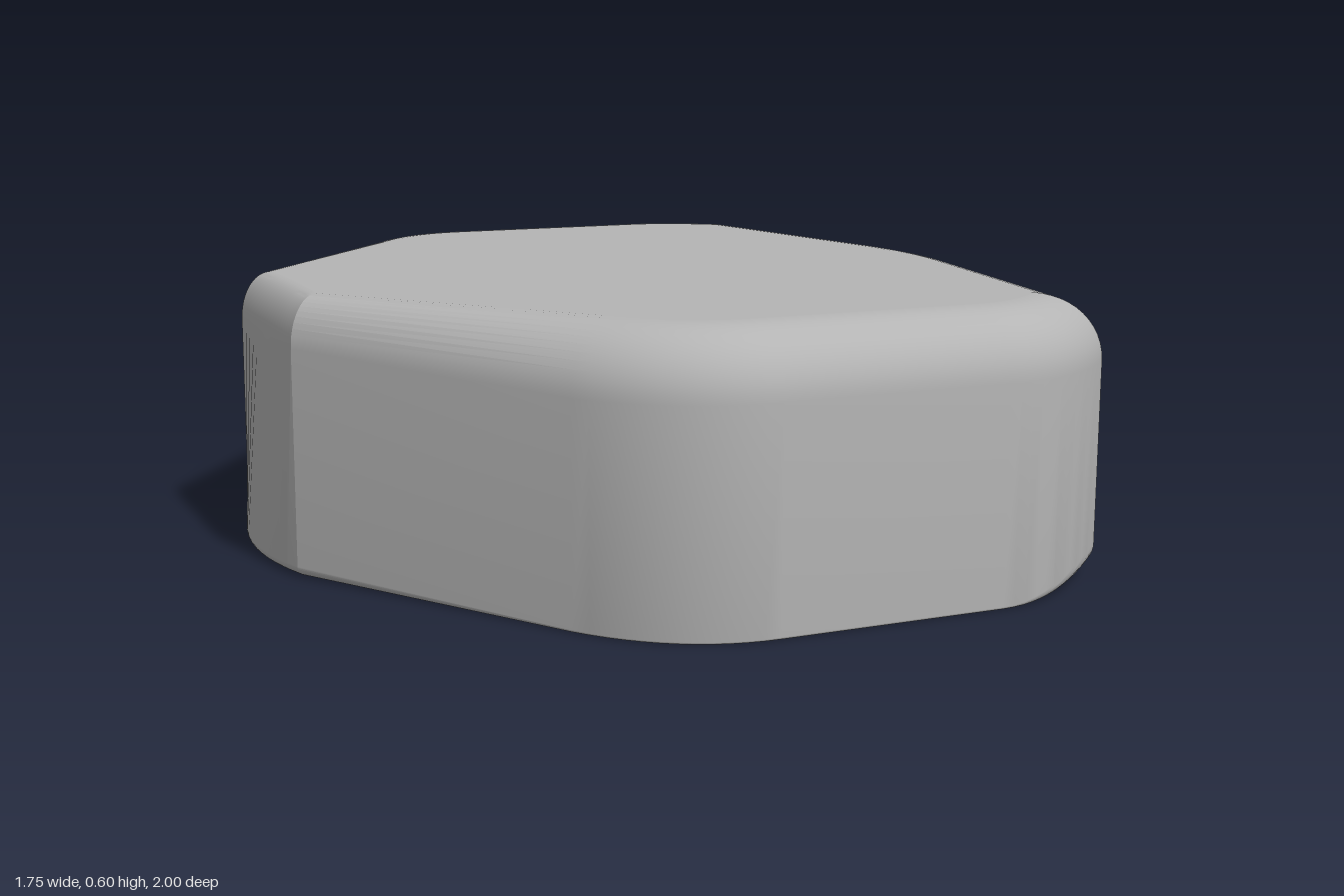
import * as THREE from 'three';
import { toCreasedNormals } from 'three/addons/utils/BufferGeometryUtils.js';

const HEIGHT = 0.6;
const STEPS = 12;

// Footprint as seen from above (x, z), counter-clockwise from the front corner of the tip
function footprint() {
  const path = new THREE.Path();
  path.moveTo(-0.84, 0.21);
  path.lineTo(-0.45, 0.8);
  path.quadraticCurveTo(-0.31, 1, -0.1, 1);
  path.lineTo(0.4, 1);
  path.quadraticCurveTo(0.57, 1, 0.735, 0.84);
  path.lineTo(0.854, 0.2);
  path.quadraticCurveTo(0.893, 0, 0.854, -0.2);
  path.lineTo(0.735, -0.84);
  path.quadraticCurveTo(0.57, -1, 0.4, -1);
  path.lineTo(-0.1, -1);
  path.quadraticCurveTo(-0.31, -1, -0.45, -0.8);
  path.lineTo(-0.84, -0.25);
  path.quadraticCurveTo(-0.92, -0.02, -0.84, 0.21);
  return path.getPoints(STEPS).slice(0, -1);
}

// Outward mitred normal at each corner of the footprint
function mitres(points) {
  const n = points.length;
  const edgeNormal = (i) => {
    const a = points[i % n], b = points[(i + 1) % n];
    return new THREE.Vector2(a.y - b.y, b.x - a.x).normalize();
  };
  return points.map((_, i) => {
    const a = edgeNormal(i + n - 1), b = edgeNormal(i);
    return a.clone().add(b).divideScalar(1 + a.dot(b));
  });
}

// Horizontal rings from the bottom rim, up the wall, to the top rim
function buildRings(points) {
  const normals = mitres(points);
  const ring = (profile) => points.map((p, i) => {
    const [inset, y] = profile(p);
    return [p.x - normals[i].x * inset, y, p.y - normals[i].y * inset];
  });
  const rings = [];
  for (let k = 0; k <= STEPS; k++) {
    const a = (k / STEPS) * Math.PI / 2;
    rings.push(ring((p) => {
      const r = p.x < -0.8 ? 0.025 : 0.006 + 0.064 * THREE.MathUtils.smoothstep(p.x, 0.4, 0.73);
      return [r * (1 - Math.sin(a)), r * 0.9 * (1 - Math.cos(a))];
    }));
  }
  for (let k = 0; k <= STEPS; k++) {
    const a = (k / STEPS) * Math.PI / 2;
    rings.push(ring((p) => {
      const tip = p.x < -0.8;
      const lean = Math.max(0, -0.84 - p.x);
      const width = tip ? 0.07 : 0.14, drop = tip ? 0.11 : 0.14;
      return [lean + width * (1 - Math.cos(a)), HEIGHT - drop * (1 - Math.sin(a))];
    }));
  }
  return rings;
}

function geometryFrom(vertices, index) {
  const g = new THREE.BufferGeometry();
  g.setAttribute('position', new THREE.Float32BufferAttribute(vertices.flat(), 3));
  g.setIndex(index);
  g.computeVertexNormals();
  return g;
}

// Skin between neighbouring rings, with the sharp vertical corners kept
function skin(rings) {
  const n = rings[0].length, index = [];
  for (let j = 0; j < rings.length - 1; j++) {
    for (let i = 0; i < n; i++) {
      const a = j * n + i, b = j * n + (i + 1) % n;
      index.push(a, b, b + n, a, b + n, a + n);
    }
  }
  return toCreasedNormals(geometryFrom(rings.flat(), index), THREE.MathUtils.degToRad(14));
}

// Flat fan closing one rim
function cap(ring, up) {
  const n = ring.length, index = [];
  for (let i = 0; i < n; i++) {
    const j = (i + 1) % n;
    index.push(n, up ? i : j, up ? j : i);
  }
  return geometryFrom([...ring, [0, ring[0][1], 0]], index);
}

export function createModel() {
  const stone = new THREE.MeshStandardMaterial({ color: 0xb4b4b4 });
  stone.name = 'stoneGrey';
  const group = new THREE.Group();
  group.name = 'roundedStone';
  const add = (name, geometry) => {
    const mesh = new THREE.Mesh(geometry, stone);
    mesh.name = name;
    group.add(mesh);
  };

  const rings = buildRings(footprint());
  add('roundedSides', skin(rings));
  add('topFace', cap(rings[rings.length - 1], true));
  add('bottomFace', cap(rings[0], false));
  return group;
}
